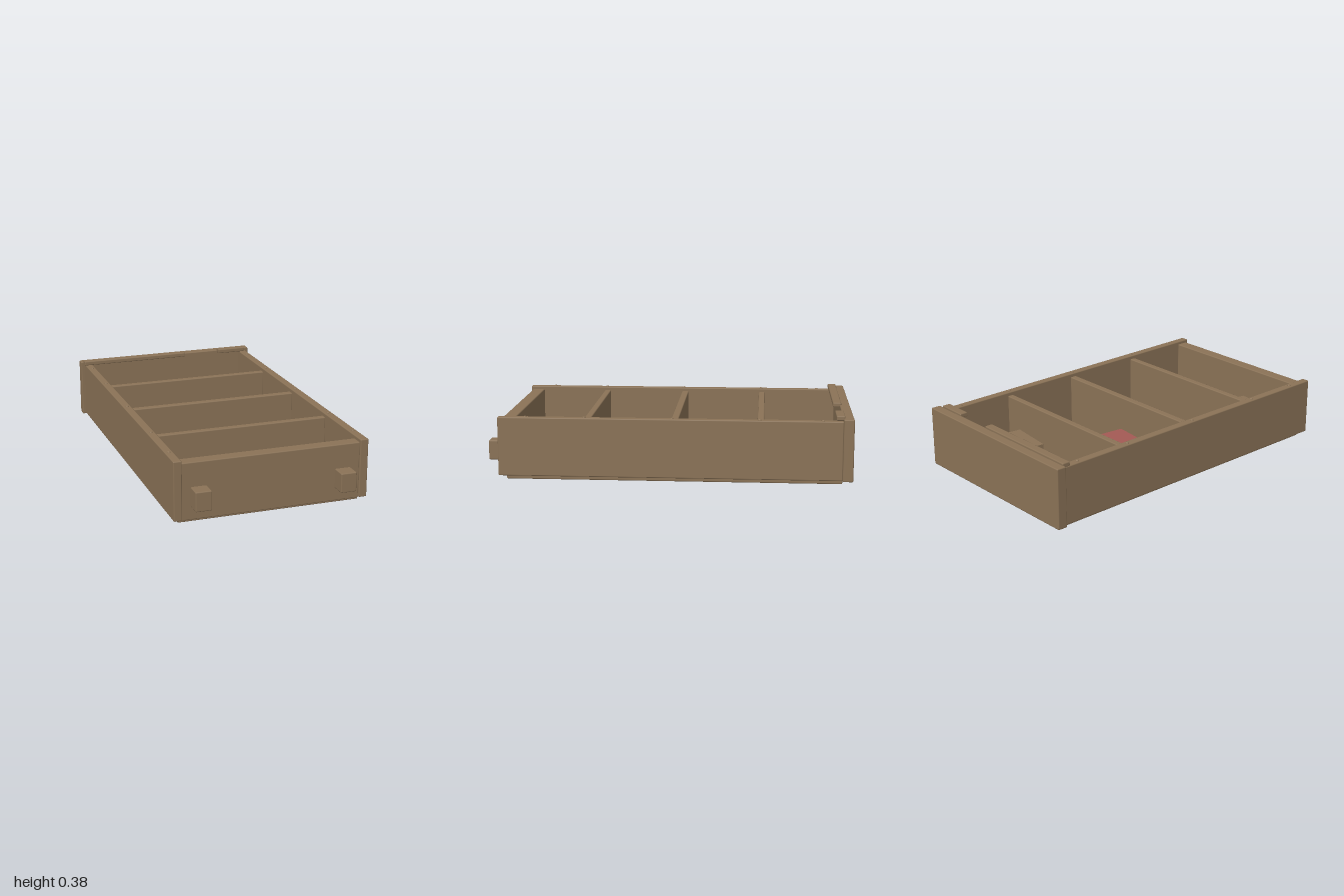
import * as THREE from 'three';
import { RoundedBoxGeometry } from 'three/addons/geometries/RoundedBoxGeometry.js';

const mat = (name, color) => Object.assign(new THREE.MeshStandardMaterial({ color }), { name });

export function createModel() {
  const group = new THREE.Group();
  const wood = mat('wood brown', 0x8b7357);
  const blue = mat('cover blue', 0x667ba8);
  const red = mat('cover red', 0xa45a54);
  const teal = mat('cover teal', 0x668f8a);
  const paper = mat('paper cream', 0xcbc4b2);

  const add = (name, geometry, material) => {
    const mesh = new THREE.Mesh(geometry, material);
    mesh.name = name;
    group.add(mesh);
    return mesh;
  };
  // Softly bevelled board given by its extents on each axis
  const board = (name, [x0, x1], [y0, y1], [z0, z1]) => {
    const geometry = new RoundedBoxGeometry(x1 - x0, y1 - y0, z1 - z0, 1, 0.006);
    geometry.translate((x0 + x1) / 2, (y0 + y1) / 2, (z0 + z1) / 2);
    return add(name, geometry, wood);
  };

  // Carcass, lying on its back
  board('backPanel', [-0.505, 0.505], [0, 0.03], [-0.945, 0.89]);
  board('topBoard', [-0.56, 0.56], [0.025, 0.365], [-1, -0.943]);
  board('bottomBoard', [-0.495, 0.495], [0.02, 0.333], [0.848, 0.918]);
  for (const [z0, z1] of [[-0.52, -0.483], [-0.05, -0.01], [0.433, 0.47]])
    board('shelf', [-0.495, 0.495], [0.02, 0.33], [z0, z1]);

  // Broken trim along the top
  board('trimLong', [-0.545, 0.118], [0.352, 0.378], [-0.952, -0.905]);
  board('trimShort', [0.345, 0.52], [0.352, 0.378], [-0.952, -0.905]);

  // Side panels, feet and nail heads on both sides
  for (const s of [-1, 1]) {
    const span = (a, b) => (s > 0 ? [a, b] : [-b, -a]);
    board('sidePanel', span(0.492, 0.538), [0.025, 0.35], [-0.945, 0.93]);
    board('foot', span(0.355, 0.444), [0.092, 0.2], [0.91, 1]);
    for (const z of [0.78, 0.457, -0.02, -0.495, -0.835]) {
      const nail = add('nailHead', new THREE.SphereGeometry(0.01, 10, 6), wood);
      nail.scale.y = 0.6;
      nail.position.set(s * 0.515, 0.35, z);
    }
  }

  // Books and papers: name, material, x, z, width, length, turn, bottom, top
  const items = [
    ['blueBook', blue, -0.25, -0.7, 0.21, 0.31, 0.44, 0.03, 0.1],
    ['brownBook', wood, 0.245, -0.72, 0.26, 0.32, -0.12, 0.03, 0.17],
    ['tealBook', teal, -0.15, -0.252, 0.264, 0.33, 0.16, 0.03, 0.1],
    ['redBook', red, -0.114, -0.25, 0.215, 0.275, -0.11, 0.1, 0.168],
    ['blueBook', blue, -0.272, 0.205, 0.25, 0.33, -0.075, 0.03, 0.1],
    ['paperSheet', paper, 0.13, 0.195, 0.215, 0.29, 0.2, 0.03, 0.036],
    ['redBook', red, -0.278, 0.663, 0.24, 0.32, 0.09, 0.03, 0.1],
    ['brownBook', wood, -0.215, 0.652, 0.21, 0.285, -0.14, 0.1, 0.168],
    ['tealBook', teal, 0.045, 0.652, 0.197, 0.31, -0.13, 0.03, 0.1],
    ['paperSheet', paper, 0.258, -0.25, 0.15, 0.22, -0.2, 0.03, 0.033],
    ['paperSheet', paper, 0.27, -0.245, 0.155, 0.23, -0.11, 0.033, 0.036],
    ['paperSheet', paper, 0.283, -0.238, 0.155, 0.235, -0.03, 0.036, 0.039],
    ['woodenStick', wood, 0.388, -0.297, 0.2, 0.022, -0.47, 0.039, 0.061],
  ];
  for (const [name, material, x, z, w, l, turn, y0, y1] of items) {
    const item = add(name, new THREE.BoxGeometry(w, y1 - y0, l), material);
    item.position.set(x, (y0 + y1) / 2, z);
    item.rotation.y = turn;
  }
  return group;
}
